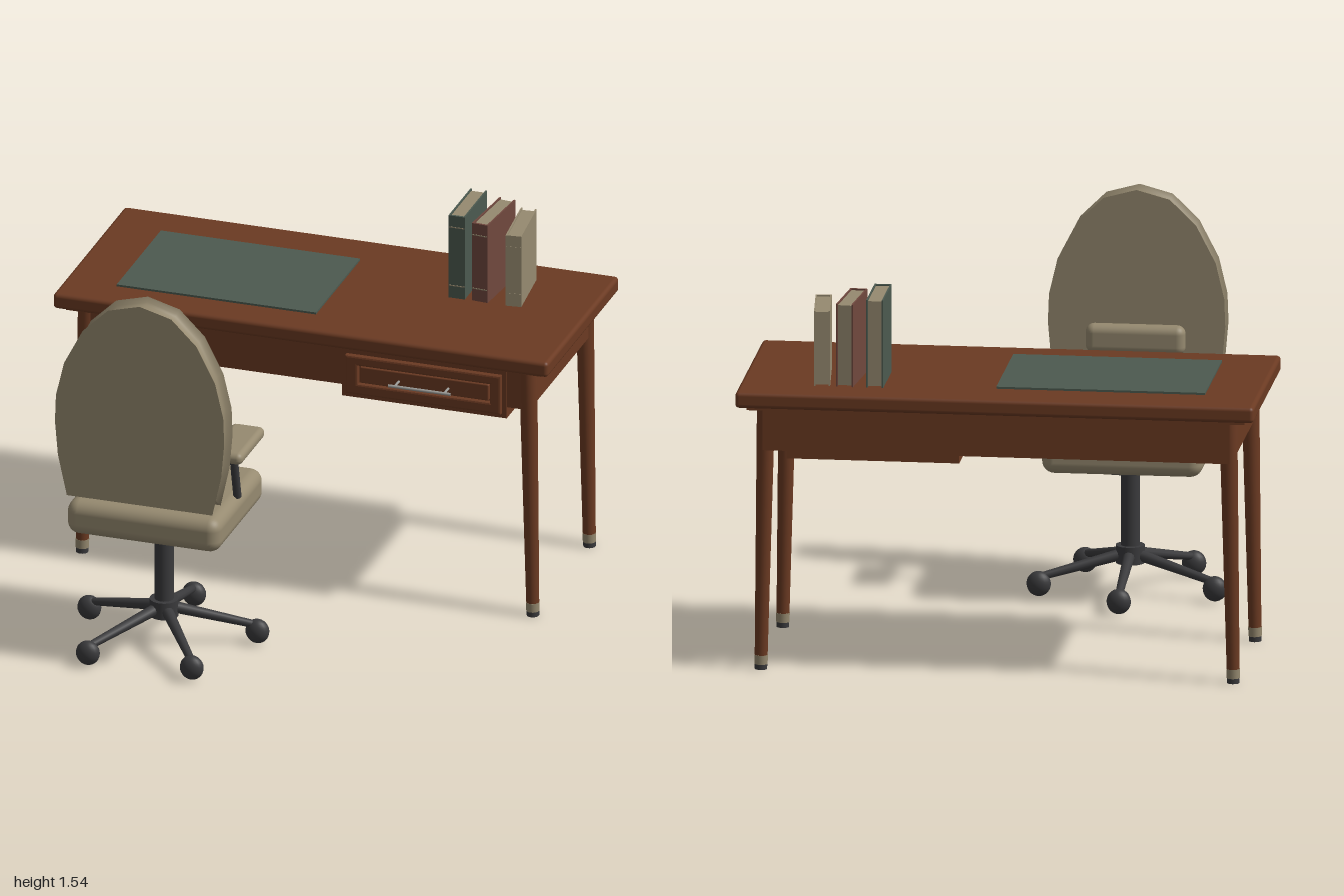
import * as THREE from 'three';
import { toCreasedNormals } from 'three/addons/utils/BufferGeometryUtils.js';
import { RoundedBoxGeometry } from 'three/addons/geometries/RoundedBoxGeometry.js';

const mat = (name, color) => {
  const m = new THREE.MeshStandardMaterial({ color });
  m.name = name;
  return m;
};

export function createModel() {
  const wood = mat('wood', 0x6b3a22);
  const beige = mat('beige', 0x968a70);
  const green = mat('green', 0x4c5a50);
  const maroon = mat('maroon', 0x70483e);
  const dark = mat('dark', 0x3a3a3c);
  const metal = mat('metal', 0x9a9a96);

  const group = (name, parent) => {
    const g = new THREE.Group();
    g.name = name;
    parent.add(g);
    return g;
  };
  const add = (parent, name, geo, material, x = 0, y = 0, z = 0) => {
    const m = new THREE.Mesh(geo, material);
    m.name = name;
    m.position.set(x, y, z);
    parent.add(m);
    return m;
  };
  // Box given by its limits, with optional rounding
  const block = (parent, name, material, [x0, x1], [y0, y1], [z0, z1], r = 0) => {
    const s = [x1 - x0, y1 - y0, z1 - z0];
    const geo = r ? new RoundedBoxGeometry(...s, 4, r) : new THREE.BoxGeometry(...s);
    return add(parent, name, geo, material, (x0 + x1) / 2, (y0 + y1) / 2, (z0 + z1) / 2);
  };
  // Tapered rod between two points
  const rod = (parent, name, material, a, b, ra, rb, sides = 20) => {
    const p = new THREE.Vector3(...a), q = new THREE.Vector3(...b);
    const d = q.clone().sub(p);
    const m = add(parent, name, new THREE.CylinderGeometry(rb, ra, d.length(), sides), material);
    m.position.copy(p).add(q).multiplyScalar(0.5);
    m.quaternion.setFromUnitVectors(new THREE.Vector3(0, 1, 0), d.normalize());
    return m;
  };

  const model = new THREE.Group();
  model.name = 'deskAndChair';

  // Desk top, moulding and aprons
  const desk = group('desk', model);
  block(desk, 'deskTop', wood, [-1, 1], [1.045, 1.108], [-0.89, -0.036], 0.016);
  block(desk, 'topMoulding', wood, [-0.96, 0.96], [1.03, 1.047], [-0.85, -0.075]);
  block(desk, 'frontApron', wood, [-0.9, 0.9], [0.87, 1.032], [-0.125, -0.1]);
  block(desk, 'backApron', wood, [-0.9, 0.9], [0.87, 1.032], [-0.833, -0.805]);
  for (const s of [-1, 1]) {
    block(desk, 'sideApron', wood, [s * 0.9 - 0.015, s * 0.9 + 0.015], [0.885, 1.032], [-0.8, -0.12]);
    for (const z of [-0.125, -0.797]) {
      const at = (y) => [s * (0.911 - 0.019 * y), y, z];
      rod(desk, 'leg', wood, at(0.055), at(1.032), 0.025, 0.035);
      rod(desk, 'legBand', beige, at(0.02), at(0.056), 0.0255, 0.0265);
      rod(desk, 'legTip', dark, at(0), at(0.02), 0.024, 0.0245);
    }
  }

  // Drawer with framed front and bar handle
  const drawer = group('drawer', desk);
  block(drawer, 'drawerBox', wood, [0.15, 0.815], [0.825, 1.03], [-0.77, -0.095]);
  const rect = (Type, x0, x1, y0, y1) => new Type([[x0, y0], [x1, y0], [x1, y1], [x0, y1]]
    .map((p) => new THREE.Vector2(...p)));
  const frame = rect(THREE.Shape, 0.178, 0.79, 0.855, 1.0);
  frame.holes.push(rect(THREE.Path, 0.213, 0.762, 0.884, 0.976));
  add(drawer, 'drawerFrame', new THREE.ExtrudeGeometry(frame, {
    depth: 0.014, bevelThickness: 0.006, bevelSize: 0.008, bevelSegments: 2,
  }), wood, 0, 0, -0.09);
  block(drawer, 'drawerPanel', wood, [0.228, 0.748], [0.896, 0.964], [-0.1, -0.076], 0.005);
  rod(drawer, 'handleBar', metal, [0.36, 0.925, -0.027], [0.61, 0.925, -0.027], 0.006, 0.006, 12);
  for (const x of [0.385, 0.585]) {
    rod(drawer, 'handlePost', metal, [x, 0.925, -0.08], [x, 0.925, -0.027], 0.005, 0.005, 10);
  }

  // Desk pad
  block(model, 'deskPad', green, [-0.79, 0.015], [1.106, 1.116], [-0.705, -0.18]);

  // Books: covers, spine, spine bands and pages
  const books = [[0.478, 0.066, 0.345, 0, green], [0.583, 0.066, 0.325, -0.09, maroon], [0.694, 0.062, 0.296, 0.1, beige]];
  for (const [x, w, h, turn, cover] of books) {
    const book = group('book', model);
    book.position.set(x, 1.109, -0.622);
    book.rotation.y = turn;
    const c = w / 2, t = 0.006;
    for (const s of [-1, 1]) {
      block(book, 'cover', cover, [s * (c - t / 2) - t / 2, s * (c - t / 2) + t / 2], [0, h], [-0.13, 0.13]);
    }
    block(book, 'spine', cover, [-c, c], [0, h], [0.122, 0.131]);
    block(book, 'pages', beige, [-c + t, c - t], [0.005, h - 0.006], [-0.123, 0.123]);
    for (const y of [0.05, h - 0.05]) {
      block(book, 'spineBand', beige, [-c * 0.95, c * 0.95], [y, y + 0.004], [0.13, 0.1325]);
    }
  }

  // Chair, with its origin on the column axis
  const chair = group('chair', model);
  chair.position.set(-0.342, 0, 0.574);
  rod(chair, 'column', dark, [0, 0.15, 0], [0, 0.52, 0], 0.037, 0.037, 24);
  rod(chair, 'hub', dark, [0, 0.12, 0], [0, 0.19, 0], 0.056, 0.056, 24);
  rod(chair, 'columnCollar', dark, [0, 0.497, 0], [0, 0.516, 0], 0.066, 0.066, 24);
  rod(chair, 'seatPlate', dark, [0, 0.513, 0], [0, 0.53, 0], 0.208, 0.208, 32);

  // Five star-base arms with casters
  for (let i = 0; i < 5; i++) {
    const a = i * Math.PI * 0.4;
    const x = -Math.sin(a), z = -Math.cos(a);
    rod(chair, 'baseArm', dark, [x * 0.03, 0.155, z * 0.03], [x * 0.35, 0.08, z * 0.35], 0.023, 0.015, 12);
    const caster = add(chair, 'caster', new THREE.SphereGeometry(1, 20, 14), dark, x * 0.357, 0.053, z * 0.357);
    caster.scale.set(0.047, 0.049, 0.035);
  }

  // Seat, armrests and lumbar cushion
  block(chair, 'seat', beige, [-0.31, 0.31], [0.525, 0.665], [-0.288, 0.271], 0.048);
  for (const s of [-1, 1]) {
    block(chair, 'armrest', beige, [s * 0.291 - 0.067, s * 0.291 + 0.067], [0.851, 0.899], [-0.154, 0.136], 0.022);
    rod(chair, 'armPost', dark, [s * 0.293, 0.655, -0.01], [s * 0.293, 0.865, 0.042], 0.016, 0.016, 12);
  }
  block(chair, 'lumbarCushion', beige, [-0.192, 0.192], [0.902, 1.017], [0.13, 0.2], 0.033);

  // Backrest: arched outline, flat faces and a scooped rim
  const half = [[0.294, 0.705], [0.33, 0.87], [0.342, 1.01], [0.338, 1.12], [0.305, 1.26], [0.23, 1.405], [0.128, 1.505]];
  const outline = [...half, [0, 1.54], ...half.map(([x, y]) => [-x, y]).reverse()];
  const backrest = group('backrest', chair);
  const face = new THREE.ShapeGeometry(new THREE.Shape(outline.map((p) => new THREE.Vector2(...p))));
  const zFront = 0.292, zBack = 0.192, steps = 10, n = outline.length;
  add(backrest, 'backrestOuterFace', face, beige, 0, 0, zFront);
  add(backrest, 'backrestInnerFace', face, beige, 0, 0, zBack).rotation.y = Math.PI;
  const pos = [], index = [];
  for (let k = 0; k <= steps; k++) {
    const t = k / steps;
    const inset = 0.032 * Math.sqrt(Math.max(0, 1 - (2 * t - 1) ** 2));
    for (const [x, y] of outline) {
      pos.push(x * (1 - inset / 0.342), 1.123 + (y - 1.123) * (1 - inset / 0.418), zFront + (zBack - zFront) * t);
    }
    if (k === steps) break;
    for (let i = 0; i < n; i++) {
      const j = (i + 1) % n, a = k * n, b = a + n;
      index.push(a + i, b + i, b + j, a + i, b + j, a + j);
    }
  }
  const rim = new THREE.BufferGeometry();
  rim.setAttribute('position', new THREE.Float32BufferAttribute(pos, 3));
  rim.setIndex(index);
  add(backrest, 'backrestRim', toCreasedNormals(rim, 0.7), beige);

  return model;
}
